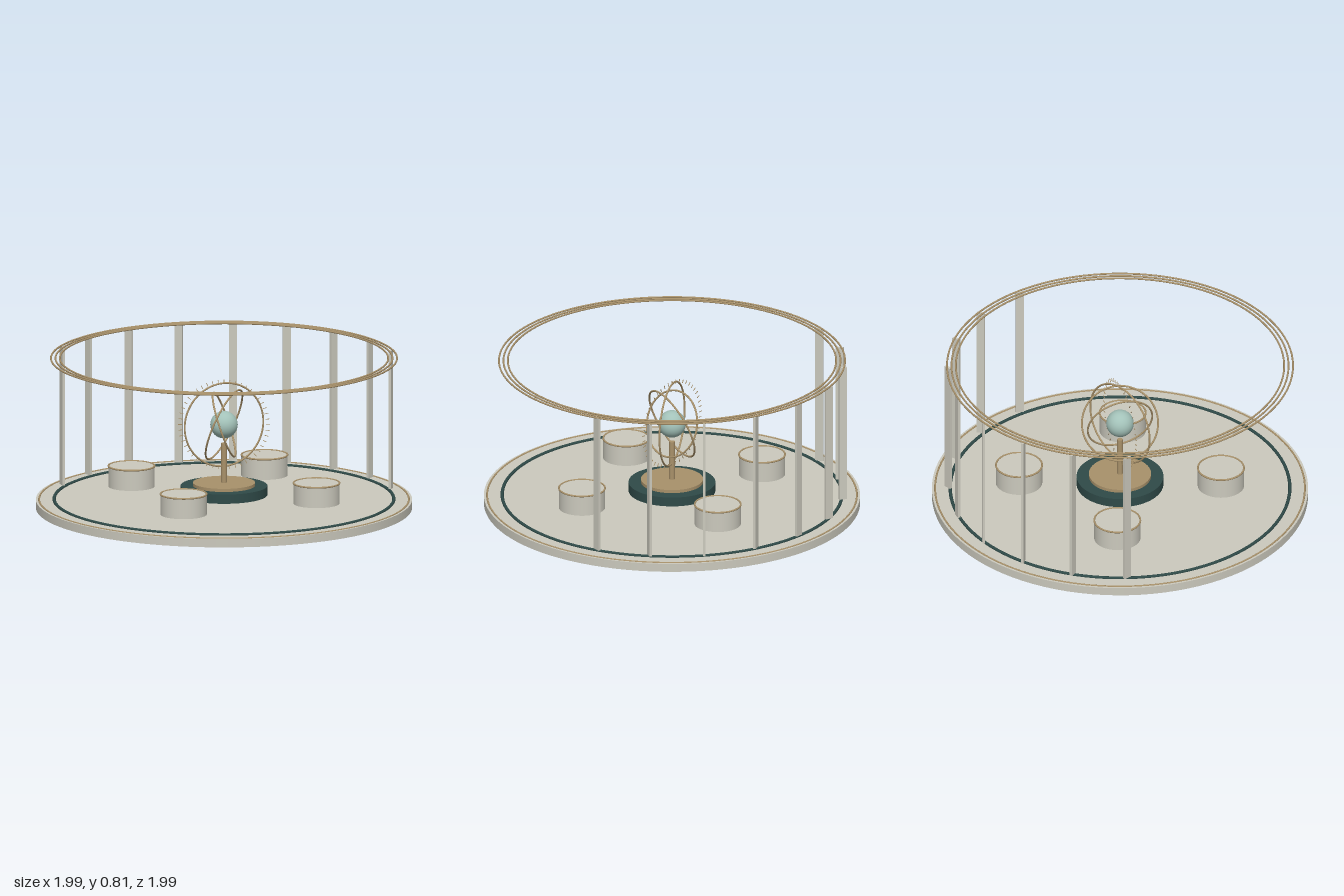
import * as THREE from 'three';

const mat = (name, color) => {
  const m = new THREE.MeshStandardMaterial({ color });
  m.name = name;
  return m;
};

export function createModel() {
  const model = new THREE.Group();
  const stone = mat('pale stone', 0xcbc9bd);
  const brass = mat('brass', 0xa8916a);
  const teal = mat('dark teal', 0x2f4a48);
  const glass = mat('pale sea green', 0xa3c2b9);

  const add = (name, geometry, material, x = 0, y = 0, z = 0, parent = model) => {
    const mesh = new THREE.Mesh(geometry, material);
    mesh.name = name;
    mesh.position.set(x, y, z);
    parent.add(mesh);
    return mesh;
  };
  // upright cylinder given by its bottom and top heights
  const drum = (name, r, y0, y1, material, x = 0, z = 0) =>
    add(name, new THREE.CylinderGeometry(r, r, y1 - y0, 96), material, x, (y0 + y1) / 2, z);
  // horizontal ring
  const flatRing = (name, r, tube, y, material, x = 0, z = 0) => {
    const ring = add(name, new THREE.TorusGeometry(r, tube, 8, 128), material, x, y, z);
    ring.rotation.x = Math.PI / 2;
    return ring;
  };

  // round floor with its inlaid rings
  drum('floor', 0.997, 0, 0.045, stone);
  flatRing('floorRimRing', 0.98, 0.005, 0.045, brass);
  flatRing('floorInlayRing', 0.9, 0.009, 0.047, teal);

  // overhead rings
  for (const r of [0.917, 0.893, 0.87]) flatRing('overheadRing', r, 0.005, 0.81, brass);

  // slats around the back half, each turned against the curve
  for (let i = 0; i < 9; i++) {
    const a = 0.25 + i * 0.32;
    const slat = add('slat', new THREE.BoxGeometry(0.014, 0.75, 0.043), stone,
      0.91 * Math.cos(a), 0.433, -0.91 * Math.sin(a));
    slat.rotation.y = -a;
  }

  // four round seats with brass rims
  for (let i = 0; i < 4; i++) {
    const a = 0.4 + i * Math.PI / 2;
    const x = 0.535 * Math.cos(a), z = 0.535 * Math.sin(a);
    drum('seat', 0.123, 0.07, 0.18, stone, x, z);
    flatRing('seatRim', 0.122, 0.005, 0.18, brass, x, z);
  }

  // central pedestal
  drum('pedestalBase', 0.23, 0.07, 0.12, teal);
  drum('pedestalPlate', 0.165, 0.12, 0.137, brass);
  drum('pedestalPost', 0.015, 0.137, 0.35, brass);

  // globe inside tilted rings
  const sphere = new THREE.Group();
  sphere.name = 'armillary';
  sphere.position.y = 0.45;
  model.add(sphere);
  add('globe', new THREE.SphereGeometry(0.073, 48, 32), glass, 0, 0, 0, sphere);
  const forward = new THREE.Vector3(0, 0, 1);
  const rings = [
    ['outerRing', 0.225, [Math.sin(0.4), 0, Math.cos(0.4)]],
    ['middleRing', 0.202, [0.88, -0.36, 0.31]],
    ['innerRing', 0.178, [0.94, 0.33, 0.07]],
  ];
  for (const [name, r, axis] of rings) {
    const ring = add(name, new THREE.TorusGeometry(r, 0.005, 10, 96), brass, 0, 0, 0, sphere);
    ring.quaternion.setFromUnitVectors(forward, new THREE.Vector3(...axis).normalize());
  }

  // fine scale marks in an upright circle
  for (let i = 0; i < 48; i++) {
    const a = i / 48 * Math.PI * 2;
    const mark = add('scaleMark', new THREE.BoxGeometry(0.02, 0.003, 0.003), brass,
      0.233 * Math.cos(a), 0.233 * Math.sin(a), 0, sphere);
    mark.rotation.z = a;
  }

  return model;
}
